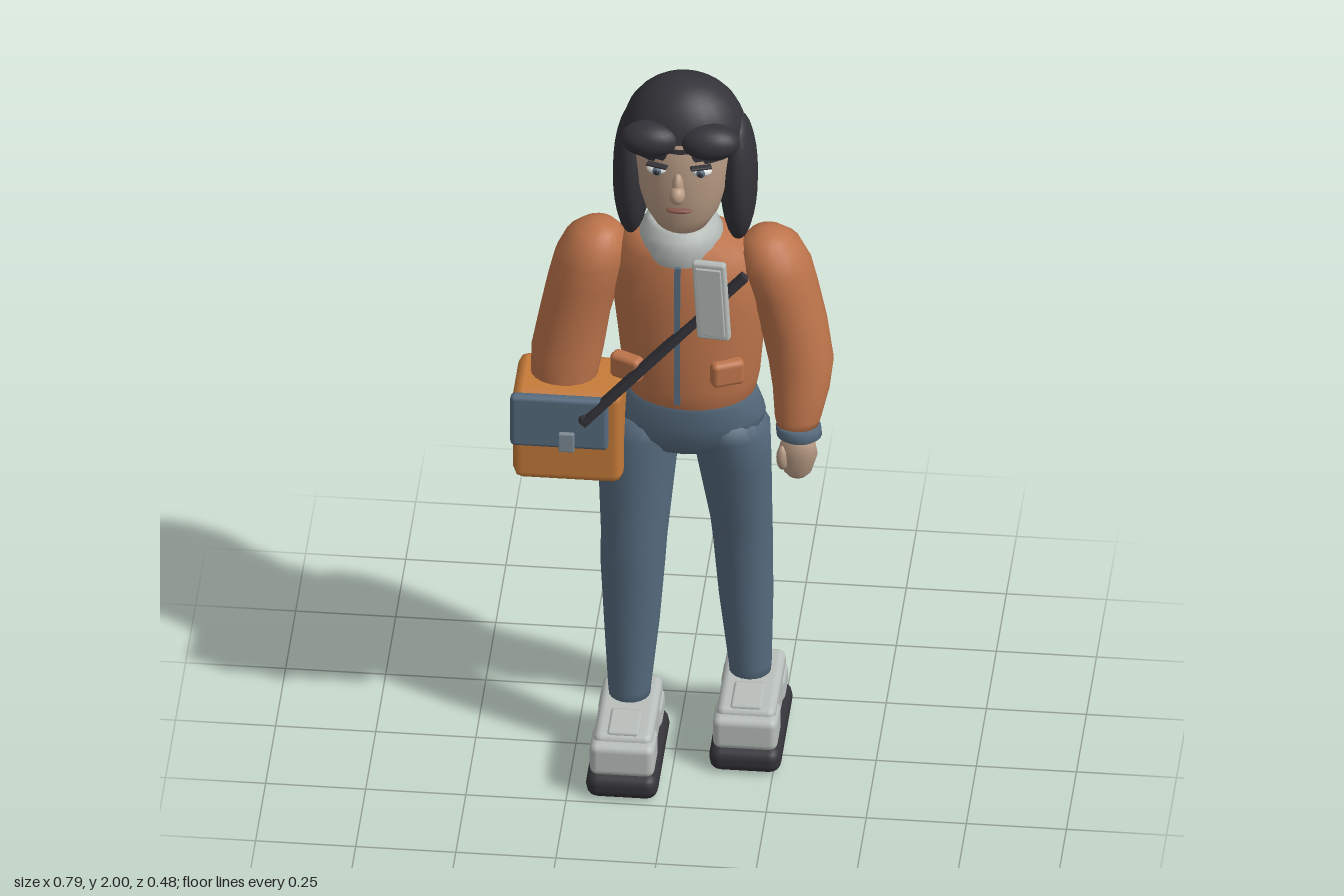
import * as THREE from 'three';
import { RoundedBoxGeometry } from 'three/addons/geometries/RoundedBoxGeometry.js';

const paint = (name, color) => {
  const m = new THREE.MeshStandardMaterial({ color });
  m.name = name;
  return m;
};

// Smooth skin through horizontal elliptical rings [x, y, z, rx, rz], listed bottom to top
function loft(rings, sides = 20) {
  const pos = [], idx = [], n = rings.length;
  for (const [x, y, z, rx, rz] of rings)
    for (let i = 0; i < sides; i++) {
      const a = (i / sides) * Math.PI * 2;
      pos.push(x + Math.sin(a) * rx, y, z + Math.cos(a) * rz);
    }
  for (let r = 0; r < n - 1; r++)
    for (let i = 0; i < sides; i++) {
      const j = (i + 1) % sides;
      const a = r * sides + i, b = r * sides + j, c = a + sides, d = b + sides;
      idx.push(a, b, d, a, d, c);
    }
  const first = rings[0], last = rings[n - 1];
  const lo = pos.length / 3, hi = lo + 1;
  pos.push(first[0], first[1], first[2], last[0], last[1], last[2]);
  for (let i = 0; i < sides; i++) {
    const j = (i + 1) % sides;
    idx.push(lo, j, i, hi, (n - 1) * sides + i, (n - 1) * sides + j);
  }
  const g = new THREE.BufferGeometry();
  g.setAttribute('position', new THREE.Float32BufferAttribute(pos, 3));
  g.setIndex(idx);
  g.computeVertexNormals();
  return g;
}

export function createModel() {
  const model = new THREE.Group();
  const jacket = paint('rust jacket', 0xbd744b);
  const denim = paint('slate denim', 0x566b7e);
  const dark = paint('charcoal', 0x333339);
  const skin = paint('skin', 0xb99c85);
  const pale = paint('pale grey', 0xb9bfbc);
  const tan = paint('tan leather', 0xc67b39);
  const steel = paint('steel', 0x7d8b96);
  const lip = paint('lips', 0x855348);
  const white = paint('eye white', 0xe2e3e0);

  const add = (name, geo, mat, x = 0, y = 0, z = 0) => {
    const m = new THREE.Mesh(geo, mat);
    m.name = name;
    m.position.set(x, y, z);
    model.add(m);
    return m;
  };
  const ball = (name, mat, x, y, z, rx, ry, rz) => {
    const g = new THREE.SphereGeometry(1, 20, 14);
    g.scale(rx, ry, rz);
    return add(name, g, mat, x, y, z);
  };
  const box = (name, mat, x, y, z, w, h, d, r = 0.01, seg = 2) =>
    add(name, new RoundedBoxGeometry(w, h, d, seg, r), mat, x, y, z);
  const beam = (name, mat, from, to, w, d) => {
    const a = new THREE.Vector3(...from), b = new THREE.Vector3(...to);
    const m = add(name, new THREE.BoxGeometry(w, d, a.distanceTo(b)), mat);
    m.position.copy(a).add(b).multiplyScalar(0.5);
    m.lookAt(b);
    return m;
  };

  // Shoes: right foot steps forward, left foot stays back
  for (const [side, x, z] of [['right', -0.113, 0.075], ['left', 0.18, -0.07]]) {
    box(side + 'Sole', dark, x, 0.036, z, 0.18, 0.07, 0.335, 0.03, 2);
    box(side + 'ShoeBody', pale, x, 0.12, z - 0.008, 0.148, 0.112, 0.285, 0.02, 2);
    box(side + 'ToeCap', pale, x, 0.113, z + 0.105, 0.162, 0.092, 0.11, 0.02, 2);
    box(side + 'HeelCounter', pale, x, 0.108, z - 0.095, 0.16, 0.075, 0.1, 0.02, 2);
    box(side + 'Tongue', pale, x, 0.172, z + 0.07, 0.08, 0.02, 0.11, 0.008, 1);
  }

  // Trousers
  add('rightLeg', loft([
    [-0.115, 0.15, 0.01, 0.05, 0.05], [-0.115, 0.2, 0.01, 0.054, 0.052],
    [-0.11, 0.4, 0.005, 0.07, 0.06], [-0.108, 0.57, 0, 0.081, 0.067],
    [-0.105, 0.65, -0.005, 0.083, 0.073], [-0.1, 0.85, -0.025, 0.097, 0.088],
    [-0.095, 0.96, -0.04, 0.103, 0.1], [-0.07, 1.02, -0.045, 0.085, 0.09],
  ]), denim);
  add('leftLeg', loft([
    [0.173, 0.15, -0.12, 0.05, 0.05], [0.173, 0.2, -0.12, 0.054, 0.052],
    [0.163, 0.4, -0.12, 0.068, 0.061], [0.156, 0.57, -0.115, 0.075, 0.07],
    [0.152, 0.65, -0.108, 0.078, 0.076], [0.138, 0.85, -0.075, 0.093, 0.092],
    [0.13, 0.96, -0.058, 0.1, 0.107], [0.11, 1.02, -0.05, 0.085, 0.1],
  ]), denim);
  add('pelvis', loft([
    [0.02, 0.9, -0.045, 0.05, 0.05], [0.02, 0.925, -0.045, 0.12, 0.085],
    [0.02, 0.97, -0.047, 0.19, 0.11], [0.025, 1.02, -0.047, 0.195, 0.118],
    [0.033, 1.07, -0.045, 0.168, 0.118], [0.036, 1.11, -0.045, 0.154, 0.115],
  ]), denim);

  // Jacket body
  add('jacketBody', loft([
    [0.036, 1.085, -0.042, 0.15, 0.118], [0.036, 1.09, -0.042, 0.16, 0.127],
    [0.034, 1.14, -0.04, 0.172, 0.132], [0.033, 1.25, -0.038, 0.182, 0.134],
    [0.03, 1.38, -0.04, 0.194, 0.132], [0.025, 1.46, -0.043, 0.19, 0.128],
    [0.02, 1.52, -0.042, 0.165, 0.115], [0.012, 1.56, -0.035, 0.11, 0.095],
  ], 24), jacket);
  beam('zipper', denim, [0.012, 1.115, 0.092], [0.012, 1.52, 0.08], 0.015, 0.018);
  for (const [side, x, turn] of [['right', -0.115, -0.45], ['left', 0.135, 0.4]])
    box(side + 'Pocket', jacket, x, 1.207, 0.075, 0.085, 0.07, 0.04, 0.014).rotation.y = turn;

  // Sleeves
  add('rightSleeve', loft([
    [-0.283, 1.02, 0.01, 0.06, 0.055], [-0.28, 1.12, 0, 0.083, 0.068],
    [-0.272, 1.2, -0.015, 0.09, 0.078], [-0.255, 1.3, -0.028, 0.088, 0.088],
    [-0.232, 1.4, -0.036, 0.091, 0.097], [-0.213, 1.47, -0.04, 0.093, 0.1],
    [-0.205, 1.52, -0.04, 0.077, 0.085], [-0.2, 1.548, -0.04, 0.05, 0.055],
    [-0.198, 1.558, -0.04, 0.02, 0.025],
  ]), jacket);
  add('leftSleeve', loft([
    [0.307, 1.03, 0.04, 0.05, 0.04], [0.308, 1.06, 0.036, 0.058, 0.048],
    [0.313, 1.13, 0.008, 0.071, 0.066], [0.31, 1.2, -0.02, 0.082, 0.08],
    [0.29, 1.3, -0.035, 0.085, 0.089], [0.263, 1.4, -0.045, 0.088, 0.098],
    [0.242, 1.47, -0.045, 0.092, 0.1], [0.232, 1.52, -0.045, 0.077, 0.085],
    [0.226, 1.548, -0.045, 0.05, 0.055], [0.224, 1.558, -0.045, 0.02, 0.025],
  ]), jacket);

  // Wristband and hand
  add('wristband', loft([
    [0.312, 1.003, 0.042, 0.048, 0.042], [0.312, 1.01, 0.042, 0.057, 0.05],
    [0.31, 1.032, 0.04, 0.057, 0.05], [0.309, 1.04, 0.039, 0.05, 0.044],
  ]), denim);
  add('leftHand', loft([
    [0.306, 0.88, 0.035, 0.022, 0.018], [0.307, 0.895, 0.036, 0.035, 0.028],
    [0.308, 0.95, 0.04, 0.05, 0.037], [0.309, 0.98, 0.04, 0.044, 0.034],
    [0.31, 1.01, 0.041, 0.03, 0.028],
  ], 16), skin);
  ball('leftThumb', skin, 0.272, 0.945, 0.058, 0.016, 0.035, 0.018);

  // Roll collar
  add('collar', loft([
    [0.01, 1.5, -0.03, 0.09, 0.095], [0.01, 1.515, -0.03, 0.103, 0.11],
    [0.01, 1.565, -0.03, 0.105, 0.112], [0.01, 1.582, -0.03, 0.094, 0.1],
    [0.01, 1.6, -0.03, 0.088, 0.094], [0.01, 1.61, -0.03, 0.075, 0.08],
  ]), pale);

  // Head and face
  add('head', loft([
    [0.015, 1.592, -0.01, 0.04, 0.045], [0.015, 1.605, -0.01, 0.065, 0.066],
    [0.015, 1.65, -0.012, 0.092, 0.085], [0.015, 1.72, -0.015, 0.112, 0.097],
    [0.015, 1.8, -0.02, 0.12, 0.103], [0.015, 1.88, -0.025, 0.118, 0.1],
    [0.015, 1.95, -0.03, 0.08, 0.07],
  ], 24), skin);
  ball('noseBridge', skin, 0.013, 1.765, 0.085, 0.015, 0.04, 0.022);
  ball('noseTip', skin, 0.013, 1.752, 0.1, 0.02, 0.025, 0.025);
  ball('mouth', lip, 0.015, 1.69, 0.077, 0.033, 0.007, 0.012);
  for (const s of [-1, 1]) {
    const x = 0.015 + s * 0.055, side = s < 0 ? 'right' : 'left';
    ball(side + 'Eye', white, x, 1.808, 0.068, 0.027, 0.014, 0.018);
    ball(side + 'Iris', denim, x, 1.808, 0.08, 0.012, 0.012, 0.01);
    ball(side + 'Pupil', dark, x, 1.808, 0.086, 0.007, 0.008, 0.006);
    box(side + 'UpperLid', dark, x, 1.823, 0.077, 0.054, 0.007, 0.018, 0.003, 1).rotation.y = s * 0.3;
    // Hair: fringe roll and long side lock
    ball(side + 'Fringe', dark, 0.015 + s * 0.074, 1.885, 0.05, 0.076, 0.046, 0.05);
    ball(side + 'SideLock', dark, 0.018 + s * 0.134, 1.715, -0.055, 0.047, 0.185, 0.086);
  }
  const crown = new THREE.SphereGeometry(1, 24, 12, 0, Math.PI * 2, 0, Math.PI * 0.54);
  crown.scale(0.155, 0.155, 0.133);
  dark.side = THREE.DoubleSide;
  add('hairCrown', crown, dark, 0.015, 1.845, -0.055);
  ball('backHair', dark, 0.02, 1.765, -0.1, 0.155, 0.185, 0.108);

  // Shoulder bag with flap, buckle and strap
  box('bagBody', tan, -0.262, 0.995, 0.008, 0.275, 0.27, 0.185, 0.025, 1);
  box('bagFlap', denim, -0.28, 1.055, 0.113, 0.245, 0.15, 0.03, 0.012, 2);
  box('bagBuckle', steel, -0.26, 1.01, 0.138, 0.04, 0.055, 0.014, 0.004, 1);
  beam('bagStrap', dark, [-0.222, 1.065, 0.13], [0.18, 1.5, 0.075], 0.024, 0.02);
  ball('strapEnd', dark, -0.215, 1.073, 0.128, 0.016, 0.016, 0.014);

  // Tag hanging on the chest
  const tag = box('chestTag', pale, 0.1, 1.447, 0.11, 0.086, 0.228, 0.024, 0.008, 1);
  tag.rotation.set(0, -0.17, 0.06);
  const tagFace = box('chestTagFace', pale, 0.098, 1.447, 0.122, 0.066, 0.2, 0.01, 0.003, 1);
  tagFace.rotation.copy(tag.rotation);

  return model;
}
